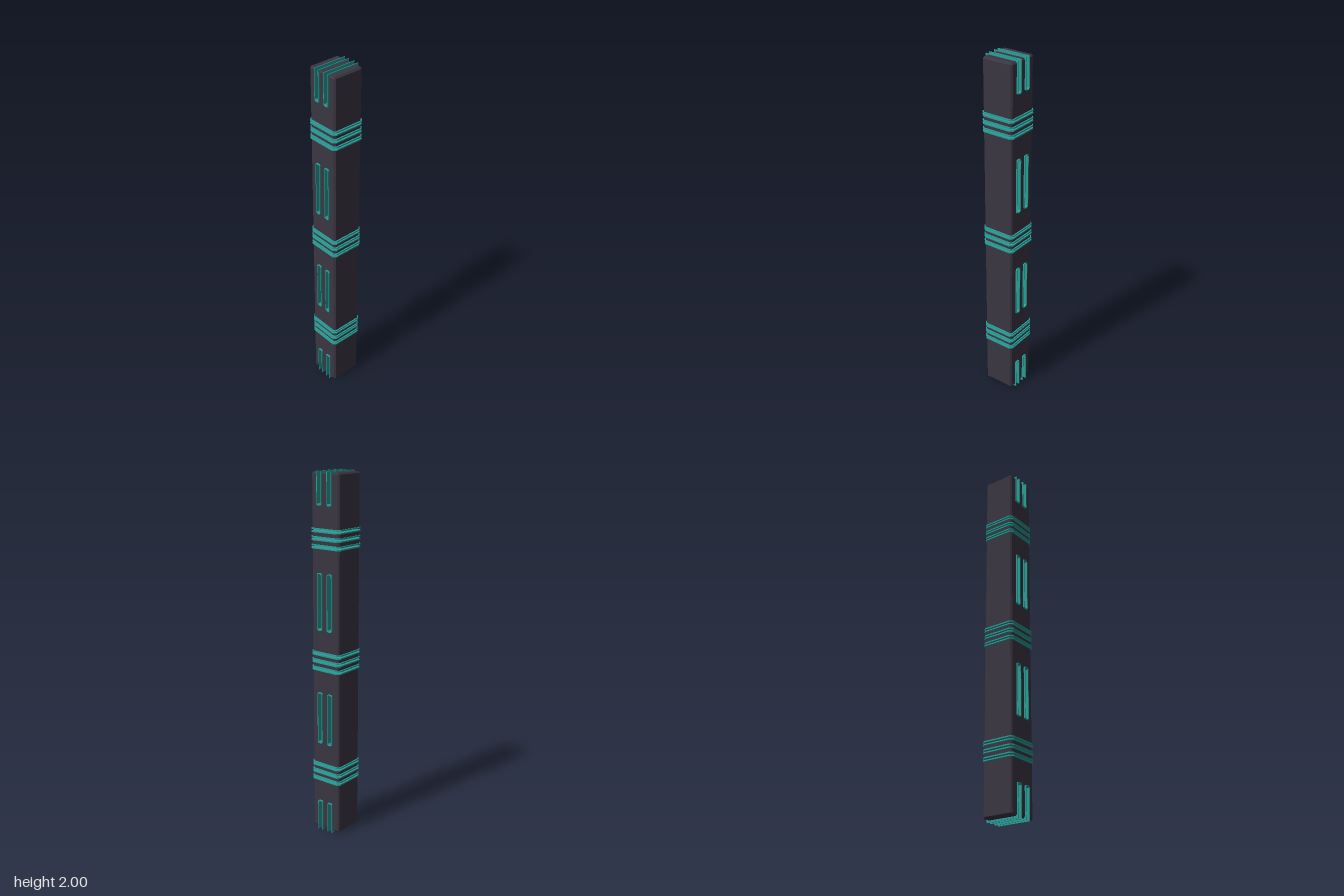
import * as THREE from 'three';
import { ConvexGeometry } from 'three/addons/geometries/ConvexGeometry.js';

const dark = new THREE.MeshStandardMaterial({ color: 0x3a3642 });
const teal = new THREE.MeshStandardMaterial({ color: 0x2a9d98 });

const HALF = 0.09, FLAT = 0.082;       // body half width, and half width inside its chamfers
const RIM = 0.098;                     // half width of the teal trim
const SLOT_X = [-0.0315, 0.0345], SLOT_W = 0.016, LIP = 0.004, CUT = 0.006;
const GAP = 0.004, PLATE = 0.007;      // half gap of a ring, thickness of its plates
const BOTTOM = 0.011, TOP = 1.995, BEVEL = 0.009;

const vecs = pts => pts.map(([x, y]) => new THREE.Vector2(x, y));

// Extrude a front-facing shape evenly about z = 0
function slab(points, holes, half) {
  const shape = new THREE.Shape(vecs(points));
  for (const h of holes) shape.holes.push(new THREE.Path(vecs(h)));
  const g = new THREE.ExtrudeGeometry(shape, { depth: half * 2, bevelEnabled: false });
  return g.translate(0, 0, -half);
}

// Arch with clipped corners: from yOpen to its closed end yTip
function arch(x, w, yOpen, yTip, cut) {
  const yc = yTip - Math.sign(yTip - yOpen) * cut;
  return [[x - w, yOpen], [x - w, yc], [x - w + cut, yTip],
    [x + w - cut, yTip], [x + w, yc], [x + w, yOpen]];
}

// Closed slot outline with clipped corners, counter-clockwise
function slotLoop(x, w, y0, y1, cut) {
  const yc = y0 + cut;
  return [[x - w, yc], [x - w + cut, y0], [x + w - cut, y0], [x + w, yc],
    [x + w, y1 - cut], [x + w - cut, y1], [x - w + cut, y1], [x - w, y1 - cut]];
}

function hull(points) {
  return new ConvexGeometry(points.map(p => new THREE.Vector3(...p)));
}

// Chamfered square plate or block between two heights
function octBlock(half, flat, y0, y1) {
  const pts = [];
  for (const y of [y0, y1]) for (const a of [-1, 1]) for (const b of [-1, 1])
    pts.push([a * half, y, b * flat], [a * flat, y, b * half]);
  return hull(pts);
}

export function createModel() {
  const group = new THREE.Group();
  const add = (name, geometry, material) => {
    const mesh = new THREE.Mesh(geometry, material);
    mesh.name = name;
    group.add(mesh);
  };

  // Chamfered side strips that flank the slotted core
  const sides = (y0, y1) => {
    for (const s of [-1, 1]) {
      const pts = [];
      for (const y of [y0, y1]) for (const b of [-1, 1])
        pts.push([s * FLAT, y, b * HALF], [s * HALF, y, b * FLAT]);
      add('bodySide', hull(pts), dark);
    }
  };

  // Bands of three split rings, each a pair of trim plates
  const bands = [0.355, 0.996, 1.657], step = 0.0425, reach = GAP + PLATE;
  for (const c of bands) {
    for (const k of [-1, 0, 1]) for (const s of [-1, 1]) {
      const y = c + k * step;
      add('ringPlate', octBlock(RIM, FLAT, y + s * GAP, y + s * reach), teal);
    }
    for (const k of [-1, 0])
      add('bandCore', octBlock(HALF, FLAT, c + k * step + reach, c + (k + 1) * step - reach), dark);
  }

  // Middle sections with closed slots that pass right through
  [[0.525, 0.82], [1.167, 1.477]].forEach(([s0, s1], i) => {
    const y0 = bands[i] + step + reach, y1 = bands[i + 1] - step - reach;
    const outline = [[-FLAT, y0], [FLAT, y0], [FLAT, y1], [-FLAT, y1]];
    add('bodySection', slab(outline, SLOT_X.map(x => slotLoop(x, SLOT_W, s0, s1, CUT)), HALF), dark);
    sides(y0, y1);
    for (const x of SLOT_X)
      add('slotLining', slab(slotLoop(x, SLOT_W, s0, s1, CUT),
        [slotLoop(x, SLOT_W - LIP, s0 + LIP, s1 - LIP, CUT)], RIM), teal);
  });

  // End sections with open slots: body end, trim end, slot tip, inner end, direction inward
  const ends = [
    [BOTTOM, 0, 0.179, bands[0] - step - reach, 1],
    [TOP, 2, 1.827, bands[2] + step + reach, -1],
  ];
  for (const [end, trimEnd, tip, inner, dir] of ends) {
    const base = end + dir * BEVEL;
    const outline = [[-FLAT, inner], [-FLAT, base],
      ...SLOT_X.flatMap(x => arch(x, SLOT_W, base, tip, CUT)),
      [FLAT, base], [FLAT, inner]];
    add('endSection', slab(outline, [], HALF), dark);
    sides(base, inner);

    // Bevelled tips of the three prongs
    const middle = [];
    for (const x of [SLOT_X[0] + SLOT_W, SLOT_X[1] - SLOT_W]) for (const b of [-1, 1])
      middle.push([x, base, b * HALF], [x, end, b * FLAT]);
    add('prongTip', hull(middle), dark);
    [-1, 1].forEach((s, i) => {
      const edge = SLOT_X[i] + s * SLOT_W, pts = [];
      for (const b of [-1, 1])
        pts.push([edge, base, b * HALF], [s * FLAT, base, b * HALF], [s * HALF, base, b * FLAT],
          [edge, end, b * FLAT], [s * FLAT, end, b * FLAT]);
      add('prongTip', hull(pts), dark);
    });

    // U-shaped lining of each open slot
    for (const x of SLOT_X)
      add('openSlotLining', slab([...arch(x, SLOT_W, trimEnd, tip, CUT),
        ...arch(x, SLOT_W - LIP, trimEnd, tip - dir * LIP, CUT).reverse()], [], RIM), teal);
  }
  return group;
}
